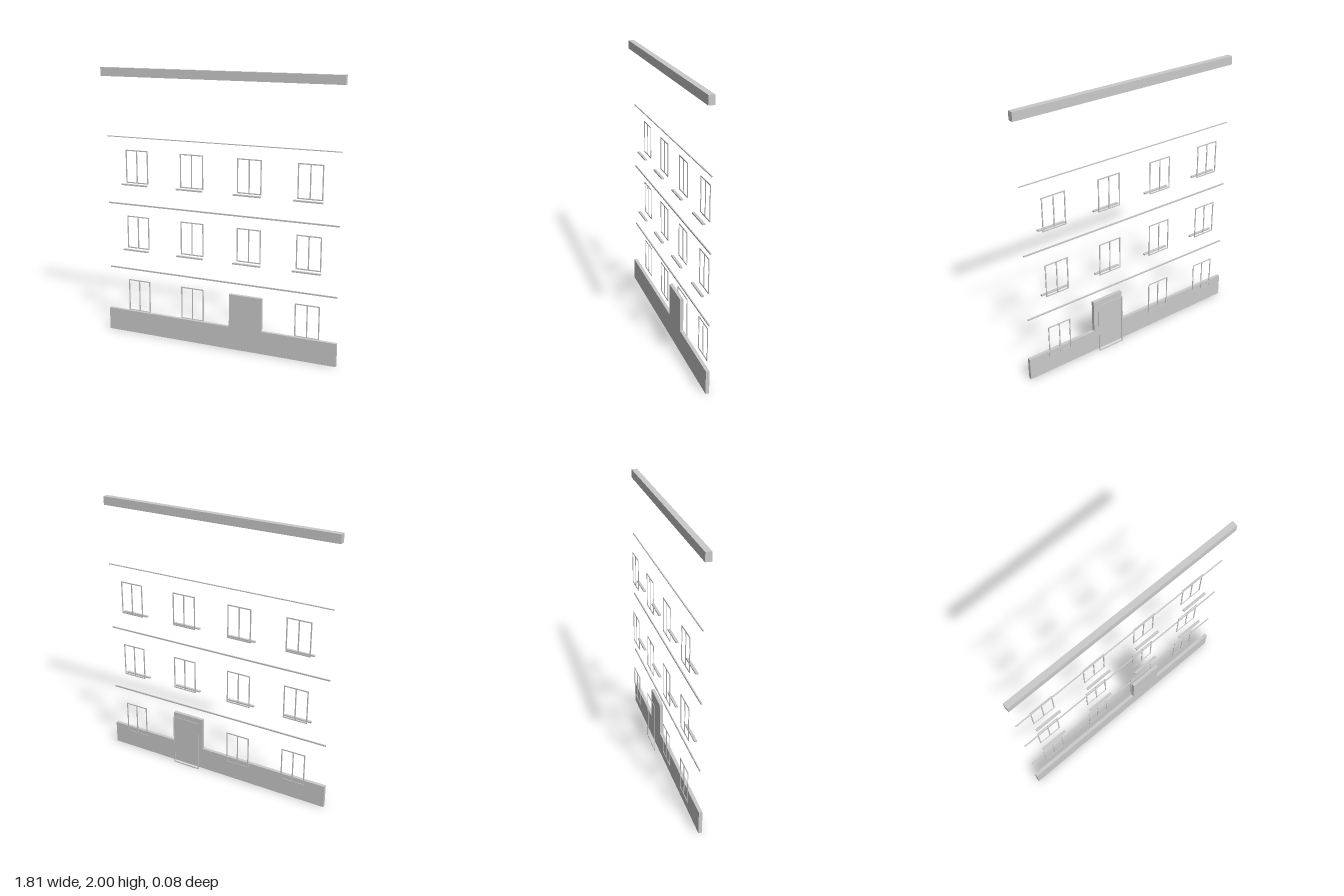
import * as THREE from 'three';

const material = new THREE.MeshStandardMaterial({ color: 0xcccccc, flatShading: true });
const WALL_Z = -0.003; // plane of the facade that all trims sit on
const COLUMNS = [-0.667, -0.222, 0.222, 0.667];
const DOOR_COLUMN = 2;
const FLOOR_HEIGHT = 0.5;

// Box given by its horizontal centre, bottom, size and back plane
function block(name, x, y, z, w, h, d) {
  const mesh = new THREE.Mesh(new THREE.BoxGeometry(w, h, d), material);
  mesh.name = name;
  mesh.position.set(x, y + h / 2, z + d / 2);
  return mesh;
}

// Rectangular frame with one or more panes, cut as holes
function frame(name, x, y, w, h, panes) {
  const bar = 0.008;
  const shape = new THREE.Shape();
  shape.moveTo(-w / 2, 0).lineTo(w / 2, 0).lineTo(w / 2, h).lineTo(-w / 2, h).closePath();
  const paneWidth = (w - bar * (panes + 1)) / panes;
  for (let i = 0; i < panes; i++) {
    const x0 = -w / 2 + bar + i * (paneWidth + bar);
    const x1 = x0 + paneWidth;
    const hole = new THREE.Path();
    hole.moveTo(x0, bar).lineTo(x0, h - bar).lineTo(x1, h - bar).lineTo(x1, bar).closePath();
    shape.holes.push(hole);
  }
  const geometry = new THREE.ExtrudeGeometry(shape, { depth: 0.004, bevelEnabled: false });
  const mesh = new THREE.Mesh(geometry, material);
  mesh.name = name;
  mesh.position.set(x, y, -0.04);
  return mesh;
}

// Plinth that steps up around the entrance
function plinth() {
  const half = 0.9, top = 0.17, portalTop = 0.417, portalHalf = 0.125;
  const cx = COLUMNS[DOOR_COLUMN];
  const shape = new THREE.Shape();
  shape.moveTo(-half, 0).lineTo(half, 0).lineTo(half, top);
  shape.lineTo(cx + portalHalf, top).lineTo(cx + portalHalf, portalTop);
  shape.lineTo(cx - portalHalf, portalTop).lineTo(cx - portalHalf, top);
  shape.lineTo(-half, top).closePath();
  const geometry = new THREE.ExtrudeGeometry(shape, { depth: 0.025, bevelEnabled: false });
  const mesh = new THREE.Mesh(geometry, material);
  mesh.name = 'plinth';
  mesh.position.z = WALL_Z;
  return mesh;
}

export function createModel() {
  const model = new THREE.Group();
  model.name = 'facadeTrim';
  model.add(plinth());
  model.add(block('cornice', 0, 1.938, WALL_Z, 1.81, 0.062, 0.043));

  for (let floor = 0; floor < 3; floor++) {
    const base = floor * FLOOR_HEIGHT;
    const storey = new THREE.Group();
    storey.name = `storey${floor + 1}`;

    // String course above each storey
    const courseHeight = floor === 2 ? 0.006 : 0.01;
    storey.add(block('stringCourse', 0, base + 0.503 - courseHeight, WALL_Z, 1.78, courseHeight, 0.008));

    COLUMNS.forEach((x, column) => {
      if (floor === 0 && column === DOOR_COLUMN) {
        storey.add(frame('doorFrame', x, 0.004, 0.217, 0.396, 1));
        return;
      }
      storey.add(frame('windowFrame', x, base + 0.152, 0.183, 0.248, 2));
      if (floor > 0) storey.add(block('windowSill', x, base + 0.143, WALL_Z, 0.208, 0.01, 0.018));
    });
    model.add(storey);
  }
  return model;
}
